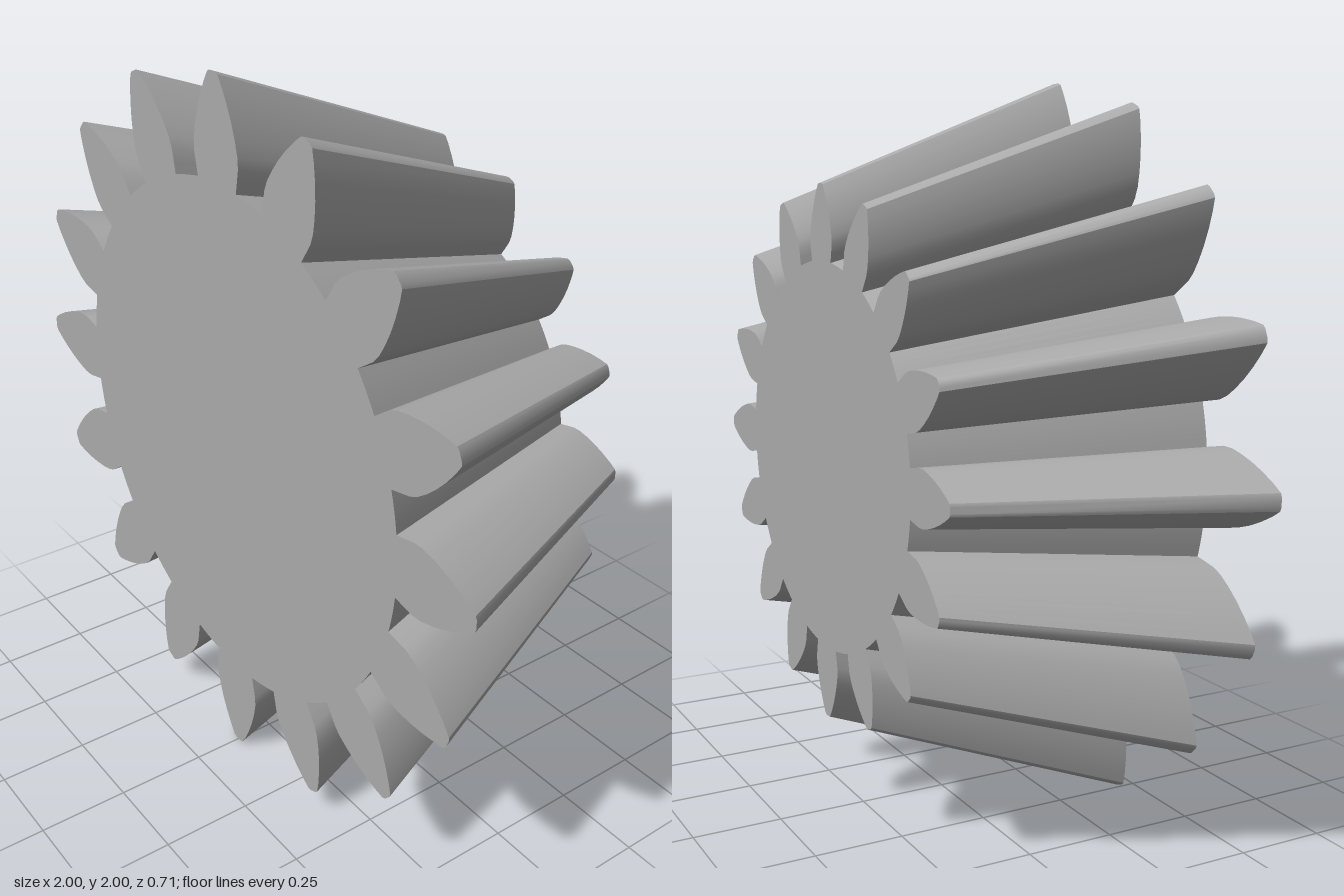
import * as THREE from 'three';
import { toCreasedNormals } from 'three/addons/utils/BufferGeometryUtils.js';

const TEETH = 16;
const FRONT_Z = 0.36, BACK_Z = -0.355; // front and back faces
const BACK_SCALE = 0.725;              // size of the back face relative to the front
const ROOT_RADIUS = 0.725;

// Right half of one tooth, root to tip: [half width, distance from axis]
const FLANK = [
  [0.086, 0.72], [0.092, 0.75], [0.099, 0.785], [0.098, 0.815], [0.09, 0.85],
  [0.077, 0.89], [0.06, 0.93], [0.039, 0.97], [0.022, 0.996], [0.012, 1],
];

// Outline of the whole gear, tooth by tooth, with a curved root between teeth
function gearOutline() {
  const pitch = (Math.PI * 2) / TEETH;
  const rootHalf = Math.atan2(FLANK[0][0], FLANK[0][1]);
  const points = [];
  for (let i = 0; i < TEETH; i++) {
    const angle = i * pitch;
    const axis = new THREE.Vector2(Math.cos(angle), Math.sin(angle));
    const add = (side, r) => points.push(new THREE.Vector2(
      axis.x * r - axis.y * side, axis.y * r + axis.x * side));
    FLANK.forEach(([w, r]) => add(-w, r));
    [...FLANK].reverse().forEach(([w, r]) => add(w, r));
    for (let k = 1; k < 5; k++) {
      const a = angle + rootHalf + (pitch - 2 * rootHalf) * (k / 5);
      points.push(new THREE.Vector2(Math.cos(a), Math.sin(a)).multiplyScalar(ROOT_RADIUS));
    }
  }
  return points;
}

export function createModel() {
  const group = new THREE.Group();
  group.name = 'bevelGear';
  const steel = new THREE.MeshStandardMaterial({ color: 0xaaaaaa });
  steel.name = 'grey steel';

  // Solid gear, tapered towards the back
  const solid = new THREE.ExtrudeGeometry(new THREE.Shape(gearOutline()), {
    depth: FRONT_Z - BACK_Z, steps: 1, bevelEnabled: false,
  });
  solid.translate(0, 0, BACK_Z);
  const pos = solid.attributes.position;
  for (let i = 0; i < pos.count; i++) {
    const t = (pos.getZ(i) - BACK_Z) / (FRONT_Z - BACK_Z);
    const s = THREE.MathUtils.lerp(BACK_SCALE, 1, t);
    pos.setXY(i, pos.getX(i) * s, pos.getY(i) * s);
  }

  const gear = new THREE.Mesh(toCreasedNormals(solid, 0.6), steel);
  gear.name = 'toothedWheel';
  gear.position.y = 1;
  group.add(gear);
  return group;
}
